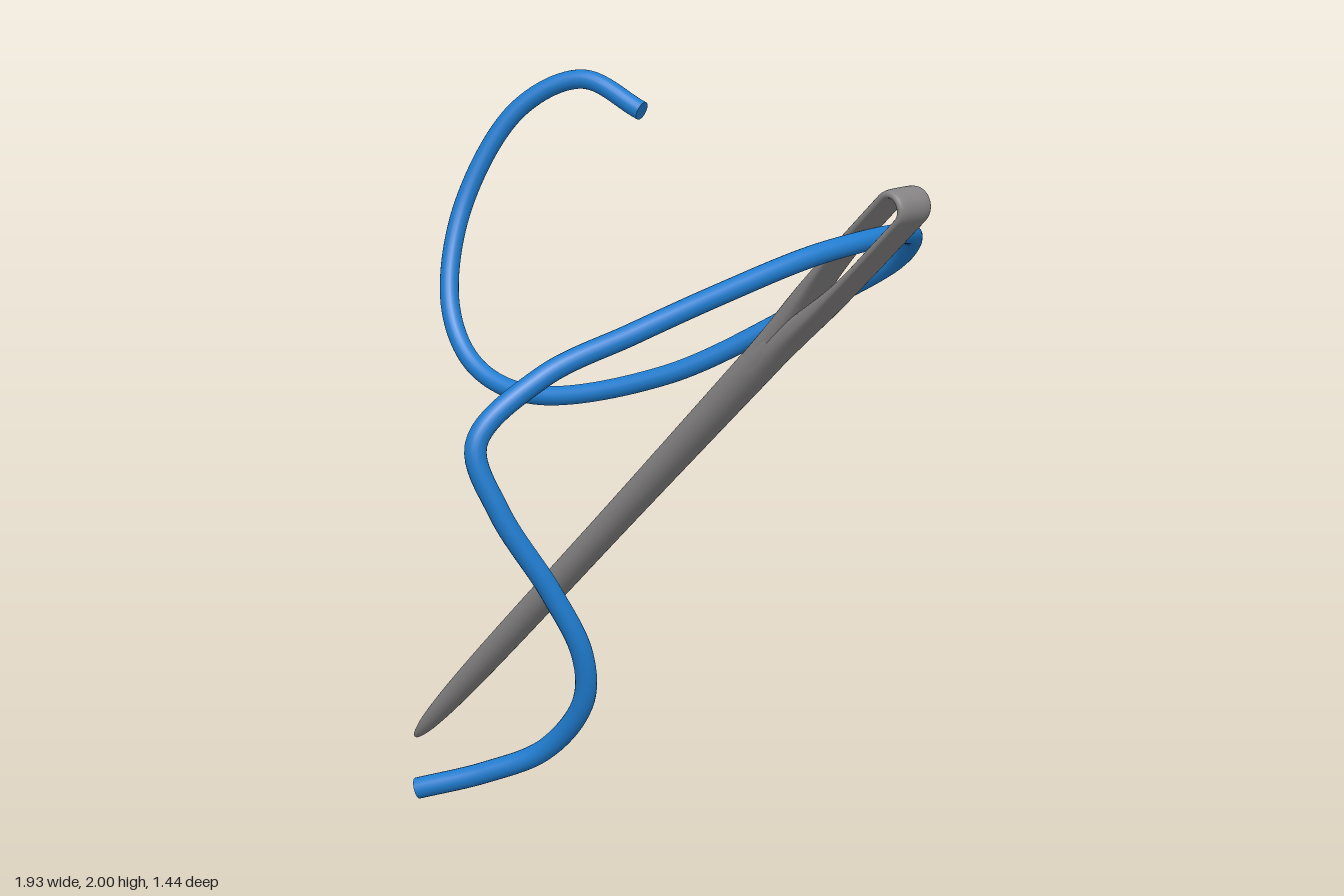
import * as THREE from 'three';

const V = (x, y, z) => new THREE.Vector3(x, y, z);

// Skin a row of closed rings, each with the same number of points.
function loft(rings) {
  const n = rings[0].length, index = [];
  for (let i = 0; i < rings.length - 1; i++) {
    for (let j = 0; j < n; j++) {
      const k = (j + 1) % n;
      const a = i * n + j, b = i * n + k, c = a + n, d = b + n;
      index.push(a, b, c, b, d, c);
    }
  }
  const geo = new THREE.BufferGeometry().setFromPoints(rings.flat());
  geo.setIndex(index);
  geo.computeVertexNormals();
  return geo;
}

// Needle, modelled upright with its point at the origin.
function makeNeedle(material) {
  const needle = new THREE.Group();
  needle.name = 'needle';

  const profile = new THREE.SplineCurve([
    [0, 0], [0.01, 0.006], [0.024, 0.09], [0.034, 0.28], [0.039, 0.6],
    [0.041, 1.2], [0.045, 1.7], [0.048, 2.0], [0.047, 2.08],
  ].map(([r, y]) => new THREE.Vector2(r, y))).getPoints(60);
  profile[0].x = 0;
  const shaft = new THREE.Mesh(new THREE.LatheGeometry(profile, 32), material);
  shaft.scale.z = 1.09;
  shaft.name = 'needleShaft';
  needle.add(shaft);

  // Eye: two prongs that part from the shaft and meet in a round arch.
  const base = 1.98, top = 2.65, W = 0.049, rings = [];
  const smooth = THREE.MathUtils.smoothstep, lerp = THREE.MathUtils.lerp;
  const addRing = (s, angle) => {
    const blend = smooth(s, base, 2.3);
    const outer = lerp(0.047, W, blend);
    const inner = lerp(-0.03, 0.026, smooth(s, base, 2.45));
    const depth = lerp(0.05, 0.054, blend), power = lerp(1, 0.6, blend);
    const mid = (outer + inner) / 2, half = (outer - inner) / 2;
    const ring = [];
    for (let j = 0; j < 24; j++) {
      const t = j / 24 * Math.PI * 2, c = Math.cos(t), q = Math.sin(t);
      const r = mid + half * Math.sign(c) * Math.abs(c) ** power;
      ring.push(V(-Math.cos(angle) * r, s + Math.sin(angle) * r,
        depth * Math.sign(q) * Math.abs(q) ** power));
    }
    rings.push(ring);
  };
  const steps = 24;
  for (let i = 0; i < steps; i++) addRing(lerp(base, top, i / steps), 0);
  for (let i = 0; i <= 16; i++) addRing(top, i / 16 * Math.PI);
  for (let i = steps - 1; i >= 0; i--) addRing(lerp(base, top, i / steps), Math.PI);
  const eye = new THREE.Mesh(loft(rings), material);
  eye.name = 'needleEye';
  needle.add(eye);

  needle.rotation.z = -Math.PI / 4;
  needle.position.set(-0.962, 0.005, -0.37);
  return needle;
}

// Thread passing through the eye, with flat cut ends.
function makeThread(material) {
  const thread = new THREE.Group();
  thread.name = 'thread';
  const radius = 0.026;
  const path = new THREE.CatmullRomCurve3([
    [-0.32, 1.905, -0.653], [-0.505, 1.973, -0.6], [-0.655, 1.88, -0.5],
    [-0.738, 1.615, -0.373], [-0.68, 1.365, -0.278], [-0.55, 1.225, -0.254],
    [-0.35, 1.175, -0.288], [0, 1.27, -0.452], [0.325, 1.475, -0.625],
    [0.58, 1.64, -0.693], [0.74, 1.75, -0.59], [0.813, 1.785, -0.425],
    [0.803, 1.77, -0.18], [0.76, 1.71, 0.08], [0.705, 1.64, 0.31],
    [0.638, 1.56, 0.53], [0.59, 1.42, 0.688], [0.632, 1.26, 0.656],
    [0.7, 1.06, 0.556], [0.735, 0.9, 0.488], [0.715, 0.77, 0.467],
    [0.605, 0.625, 0.492], [0.475, 0.548, 0.57], [0.338, 0.492, 0.67],
  ].map((p) => V(...p)));
  const strand = new THREE.Mesh(new THREE.TubeGeometry(path, 300, radius, 20), material);
  strand.name = 'threadStrand';
  thread.add(strand);
  for (const [t, sign] of [[0, -1], [1, 1]]) {
    const cap = new THREE.Mesh(new THREE.CircleGeometry(radius, 20), material);
    cap.name = 'threadEnd';
    cap.position.copy(path.getPointAt(t));
    cap.quaternion.setFromUnitVectors(V(0, 0, 1), path.getTangentAt(t).multiplyScalar(sign));
    thread.add(cap);
  }
  return thread;
}

export function createModel() {
  const steel = new THREE.MeshStandardMaterial({ color: 0x858383 });
  steel.name = 'steelGrey';
  const blue = new THREE.MeshStandardMaterial({ color: 0x1f7ccf });
  blue.name = 'threadBlue';

  const model = new THREE.Group();
  model.name = 'needleAndThread';
  model.add(makeNeedle(steel), makeThread(blue));
  return model;
}
